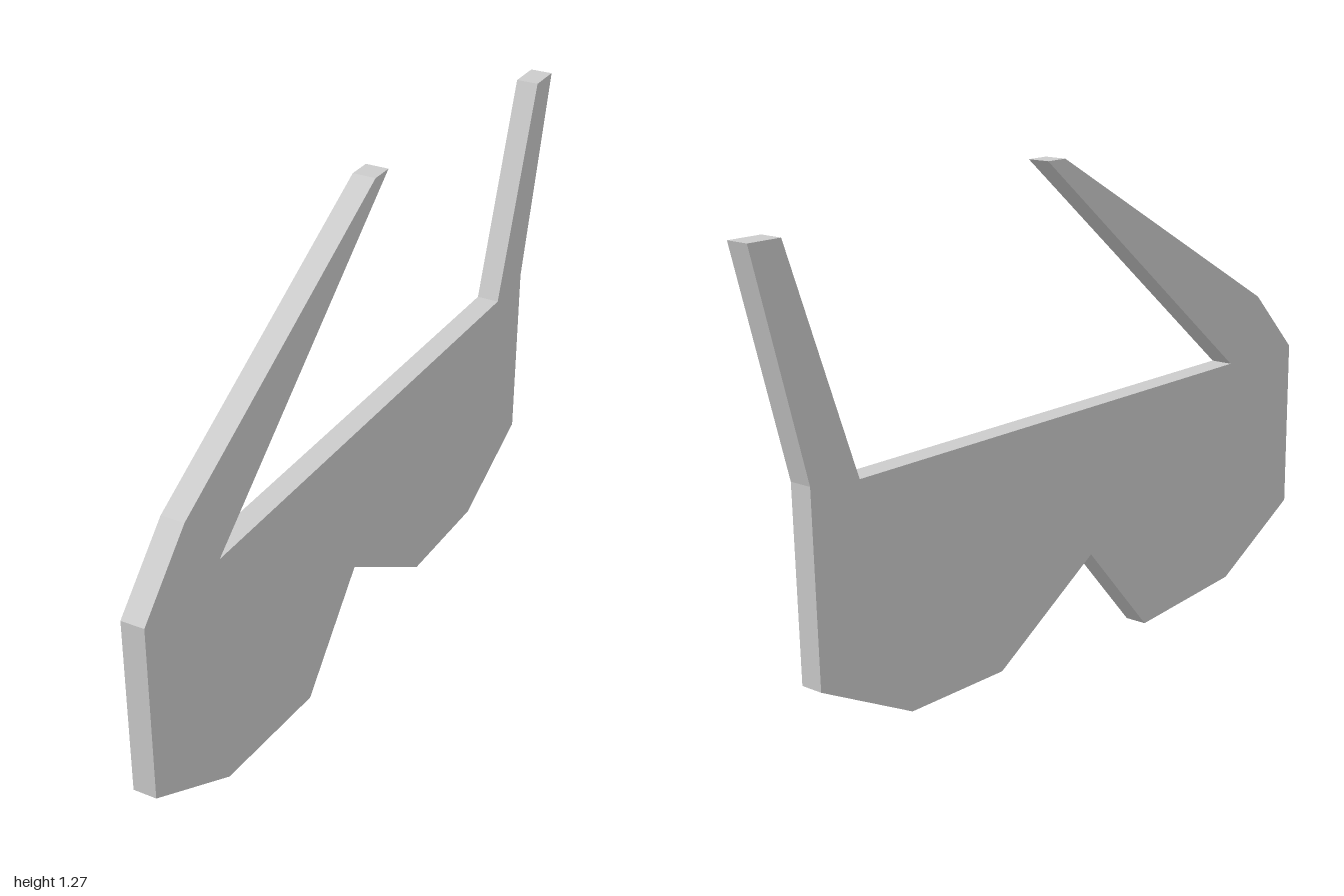
import * as THREE from 'three';

const THICKNESS = 0.06;

// Side outline as [z, y] corners, walked around the plate
const lensEdge = [
  [-0.84, 0.185], [-0.555, 0.045], [-0.24, 0.045], // rear lens
  [0.105, 0.255],                                  // nose notch
  [0.335, 0], [0.71, 0.028], [1, 0.185],           // front lens
];
const frontArm = [[1, 0.643], [0.835, 0.81], [0, 1.273], [-0.063, 1.273], [0.71, 0.643]];
const rearArm = [[-0.705, 0.643], [-0.908, 1.203], [-1, 1.203], [-0.852, 0.66]];

export function createModel() {
  const group = new THREE.Group();
  group.name = 'glasses';

  const outline = [...lensEdge, ...frontArm, ...rearArm];
  const shape = new THREE.Shape(outline.map(([z, y]) => new THREE.Vector2(z, y)));

  // One flat plate: extrude the outline, centre its thickness, turn it to run along z
  const geometry = new THREE.ExtrudeGeometry(shape, { depth: THICKNESS, bevelEnabled: false });
  geometry.translate(0, 0, -THICKNESS / 2);
  geometry.rotateY(-Math.PI / 2);

  const material = new THREE.MeshStandardMaterial({ color: 0xcccccc, flatShading: true });
  const frame = new THREE.Mesh(geometry, material);
  frame.name = 'glassesFrame';
  group.add(frame);
  return group;
}
